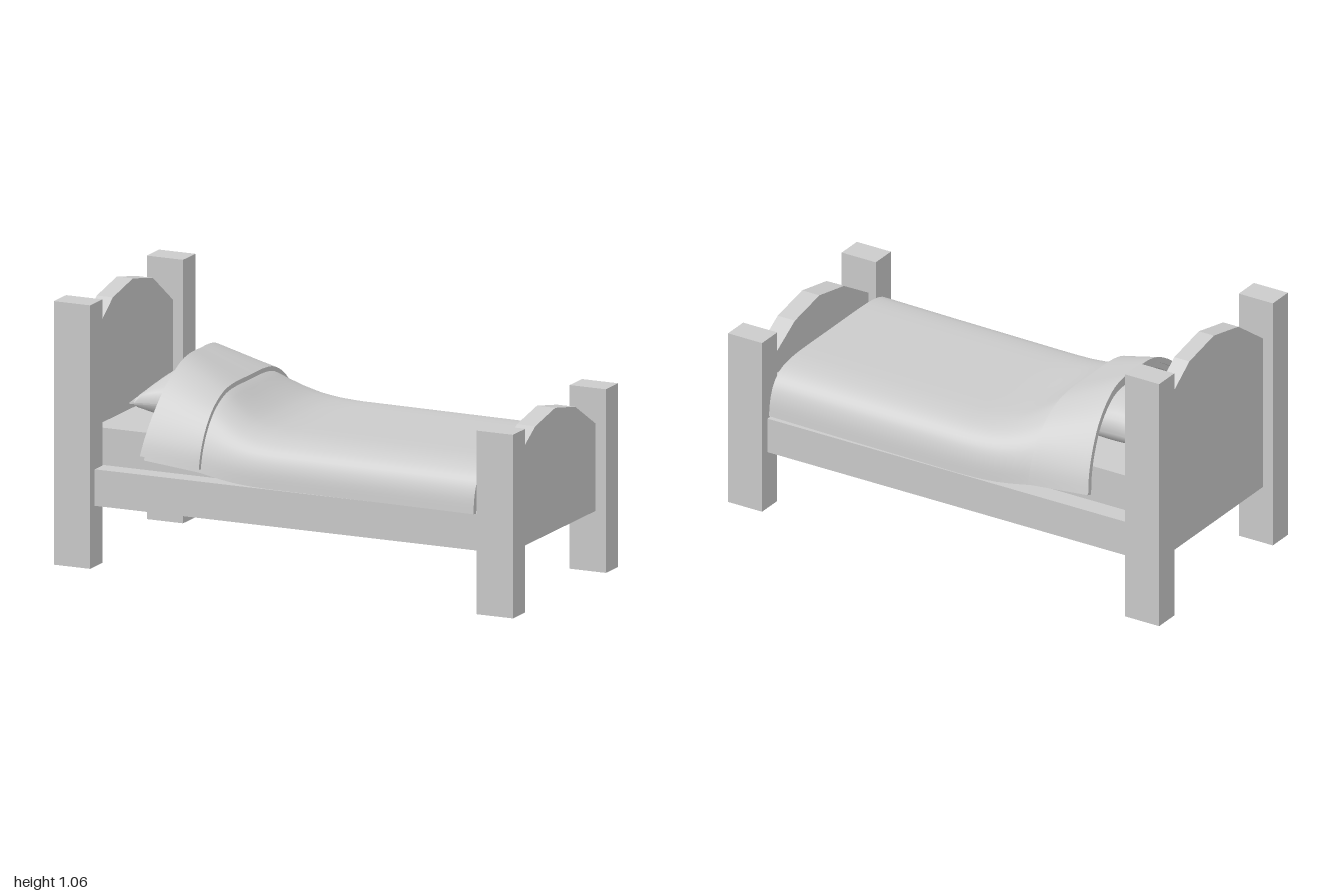
import * as THREE from 'three';
import { toCreasedNormals } from 'three/addons/utils/BufferGeometryUtils.js';

const MID = -0.015; // z of the frame's centre line
const material = new THREE.MeshStandardMaterial({ color: 0xcccccc });
const clothMaterial = new THREE.MeshStandardMaterial({ color: 0xcccccc, side: THREE.DoubleSide });

function add(group, name, geometry, mat = material) {
  const mesh = new THREE.Mesh(geometry, mat);
  mesh.name = name;
  group.add(mesh);
  return mesh;
}

// Box given by its limits on each axis
function box(group, name, [x0, x1], [y0, y1], [z0, z1]) {
  const mesh = add(group, name, new THREE.BoxGeometry(x1 - x0, y1 - y0, z1 - z0));
  mesh.position.set((x0 + x1) / 2, (y0 + y1) / 2, (z0 + z1) / 2);
}

// Arched end board with a faceted top
function board(group, name, x0, x1, top, shoulder, edge) {
  const shape = new THREE.Shape([
    [-0.36, 0.245], [0.36, 0.245], [0.36, edge], [0.178, shoulder],
    [0, top], [-0.178, shoulder], [-0.36, edge],
  ].map(([x, y]) => new THREE.Vector2(x, y)));
  const geometry = new THREE.ExtrudeGeometry(shape, { depth: x1 - x0, bevelEnabled: false });
  geometry.rotateY(Math.PI / 2).translate(x0, 0, MID);
  add(group, name, geometry);
}

// Piecewise linear lookup, eased between the given stations
function lookup(table, x) {
  if (x <= table[0][0]) return table[0][1];
  for (let i = 1; i < table.length; i++) {
    const [xa, a] = table[i - 1], [xb, b] = table[i];
    if (x <= xb) return a + (b - a) * (x - xa) / (xb - xa);
  }
  return table[table.length - 1][1];
}

// Half sections of the blanket as [z, y], centre to hem
const FLAT = [[0, 0.597], [0.2, 0.597], [0.3, 0.592], [0.37, 0.575], [0.42, 0.535], [0.447, 0.475], [0.457, 0.405]];
const RAISED = [[0, 0.797], [0.1, 0.795], [0.18, 0.77], [0.27, 0.705], [0.34, 0.62], [0.39, 0.53], [0.415, 0.45]];
const RISE = [[-0.59, 1], [-0.48, 0.78], [-0.375, 0.57], [-0.33, 0.42], [-0.28, 0.27], [-0.22, 0.13], [-0.15, 0.04], [-0.06, 0]];
const SHIFT = [[-0.59, -0.01], [0, -0.004], [0.5, 0.004], [0.84, 0.012]];

// Points and outward normals across the blanket at x
function section(x, count, trim) {
  const w = lookup(RISE, x);
  const half = FLAT.map(([z, y], i) => [
    z + (RAISED[i][0] - z) * w,
    y + (RAISED[i][1] - y) * w,
  ]);
  const mirrored = half.slice(1).reverse().map(([z, y]) => [-z, y]);
  const curve = new THREE.SplineCurve([...mirrored, ...half].map(([z, y]) => new THREE.Vector2(z, y)));
  const points = [];
  for (let i = 0; i <= count; i++) {
    const t = trim + (1 - 2 * trim) * i / count;
    const p = curve.getPoint(t), d = curve.getTangent(t);
    points.push({ p, n: new THREE.Vector2(-d.y, d.x), top: half[0][1] });
  }
  return points;
}

// Closed cloth shell lofted through sections between x0 and x1
function clothGeometry(x0, x1, outer, inner, trim, steps) {
  const count = 44, ring = 2 * (count + 1);
  const position = [], index = [];
  for (let s = 0; s <= steps; s++) {
    const x = x0 + (x1 - x0) * s / steps;
    const pts = section(x, count, trim);
    const lean = THREE.MathUtils.clamp((-0.375 - x) / 0.215, 0, 1) * 0.055;
    const put = ({ p, n, top }, offset) => position.push(
      x - lean * (top - p.y) / 0.35,
      p.y + n.y * offset,
      p.x + n.x * offset + lookup(SHIFT, x));
    pts.forEach((q) => put(q, outer));
    pts.reverse().forEach((q) => put(q, inner));
  }
  for (let s = 0; s < steps; s++) {
    for (let i = 0; i < ring; i++) {
      const a = s * ring + i, b = s * ring + (i + 1) % ring;
      index.push(a, b, a + ring, b, b + ring, a + ring);
    }
  }
  // End rims between the outer and inner faces
  const end = steps * ring;
  for (let i = 0; i < count; i++) {
    const j = ring - 1 - i;
    index.push(i, j, i + 1, i + 1, j, j - 1);
    index.push(end + i, end + i + 1, end + j, end + i + 1, end + j - 1, end + j);
  }
  const geometry = new THREE.BufferGeometry();
  geometry.setAttribute('position', new THREE.Float32BufferAttribute(position, 3));
  geometry.setIndex(index);
  return toCreasedNormals(geometry, 0.7);
}

// Cushion with pinched corners and hollowed edges
function pillowGeometry() {
  const geometry = new THREE.BoxGeometry(2, 2, 2, 22, 1, 22);
  const pos = geometry.attributes.position;
  for (let i = 0; i < pos.count; i++) {
    const u = pos.getX(i), v = pos.getZ(i), up = pos.getY(i) > 0;
    const puff = Math.pow(Math.max(0, (1 - u * u) * (1 - v * v)), 0.5);
    pos.setXYZ(i,
      0.195 * u * (1 - 0.2 * (1 - v * v)),
      up ? 0.003 + 0.117 * puff : -0.003 - 0.085 * puff,
      0.222 * v * (1 - 0.1 * (1 - u * u)));
  }
  return toCreasedNormals(geometry, 0.9);
}

export function createModel() {
  const bed = new THREE.Group();
  bed.name = 'bed';

  // Corner posts
  for (const [end, x0, height] of [['head', -1, 1.062], ['foot', 0.842, 0.74]]) {
    for (const [side, z0] of [['Right', -0.484], ['Left', 0.344]]) {
      box(bed, `${end}Post${side}`, [x0, x0 + 0.158], [0, height], [z0, z0 + 0.11]);
    }
  }

  // End boards
  board(bed, 'headboard', -0.955, -0.885, 1.062, 1.025, 0.895);
  board(bed, 'footboard', 0.875, 0.955, 0.74, 0.705, 0.597);

  // Base with side rails, and mattress
  box(bed, 'bedBase', [-0.9, 0.89], [0.245, 0.375], [-0.37, 0.34]);
  box(bed, 'railBack', [-0.9, 0.9], [0.245, 0.392], [-0.445, -0.36]);
  box(bed, 'railFront', [-0.9, 0.9], [0.245, 0.392], [0.33, 0.412]);
  box(bed, 'mattress', [-0.885, 0.865], [0.37, 0.542], [-0.357, 0.333]);

  // Pillow
  const pillow = add(bed, 'pillow', pillowGeometry());
  pillow.position.set(-0.598, 0.622, -0.008);
  pillow.rotation.y = 0.035;

  // Blanket and its turned-down top
  add(bed, 'blanket', clothGeometry(-0.58, 0.835, 0, -0.025, 0, 48), clothMaterial);
  add(bed, 'blanketFold', clothGeometry(-0.59, -0.375, 0.018, -0.004, 0.02, 10), clothMaterial);

  return bed;
}
